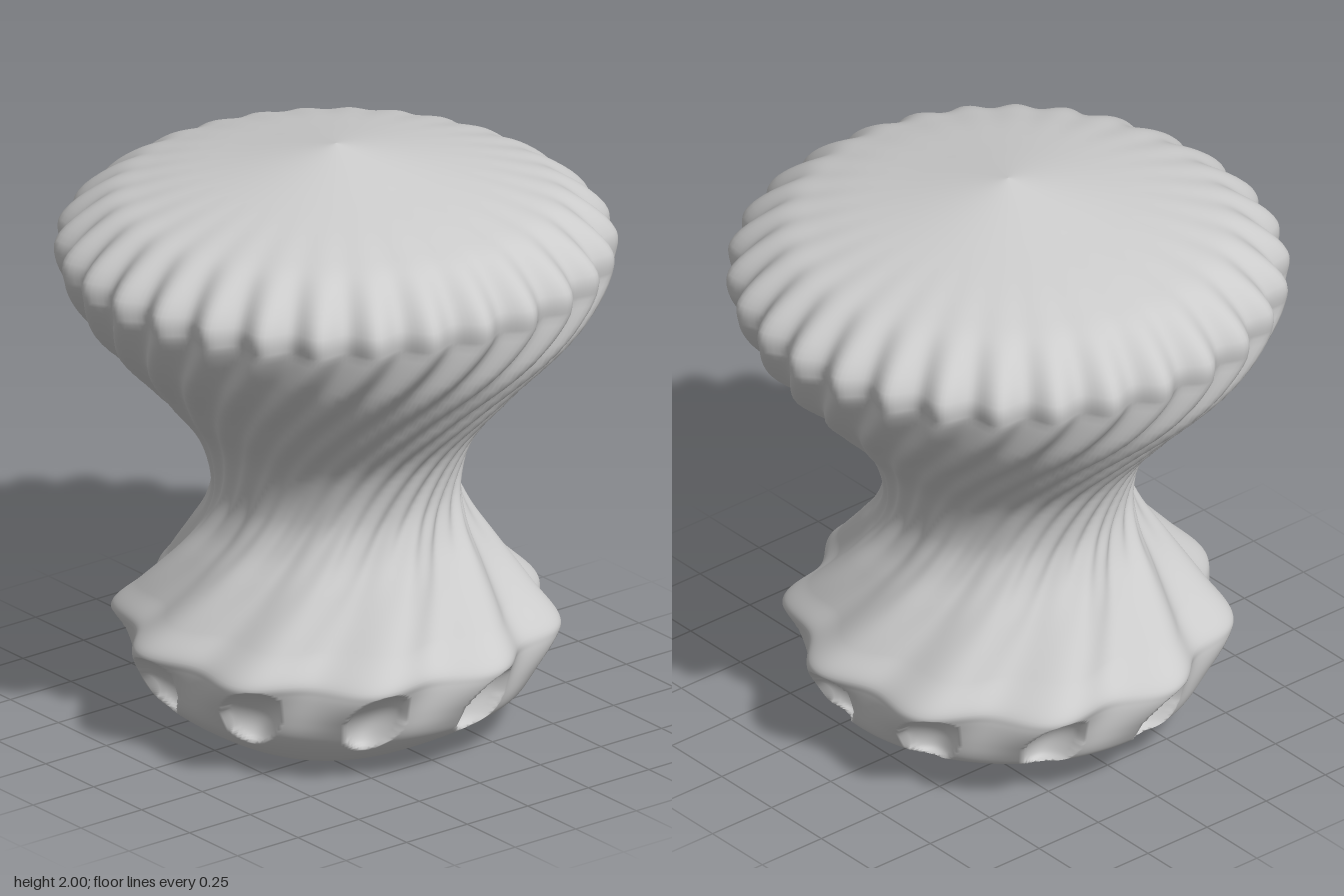
import * as THREE from 'three';

const { smoothstep, degToRad } = THREE.MathUtils;
const SIDES = 360;

// Profile as [mean radius, height], from the underside up to the crown
const PROFILE = [
  [0, 0], [0.28, 0], [0.42, 0.012], [0.52, 0.06], [0.62, 0.15], [0.665, 0.24],
  [0.695, 0.33], [0.695, 0.365], [0.61, 0.46], [0.5, 0.6], [0.425, 0.72], [0.4, 0.83],
  [0.445, 1.0], [0.6, 1.2], [0.8, 1.43], [0.88, 1.6], [0.882, 1.68],
  [0.75, 1.81], [0.6, 1.865], [0.3, 1.935], [0, 2],
];

// Rotation of the flutes, strongest through the neck
const twist = (y) => degToRad(88) * (0.5 * smoothstep(y, 0.2, 1.6) + 0.5 * THREE.MathUtils.clamp((y - 0.2) / 1.4, 0, 1));
const LOW = twist(0.36), HIGH = twist(1.65);

// Ten broad folds on the skirt
function skirtFold(a, y) {
  const amount = 0.035 * smoothstep(y, 0.16, 0.36) * (1 - smoothstep(y, 0.4, 0.95));
  return amount * Math.cos(10 * (a - twist(y) + LOW + degToRad(9)));
}

// Thirty fine flutes on the cap
function capFlute(a, y) {
  const amount = (0.007 * smoothstep(y, 0.5, 0.85) + 0.019 * smoothstep(y, 0.95, 1.6)) * (1 - smoothstep(y, 1.68, 1.93));
  return amount * Math.cos(30 * (a - twist(y) + HIGH));
}

// Ten oval pockets scooped out under the skirt edge
function pocket(a, y) {
  const step = Math.PI / 5;
  const b = a + degToRad(9) - (y - 0.235) * 0.4;
  const da = b - Math.round(b / step) * step;
  const d = (da / degToRad(8.6)) ** 2 + ((y - 0.235) / 0.115) ** 2;
  return d < 1 ? 0.095 * Math.pow(1 - d, 0.65) : 0;
}

// Uneven underside, lowest towards the front left
function undersideLift(a, r, y) {
  const low = ((1 + Math.cos(a - degToRad(40))) / 2) ** 2;
  const lift = THREE.MathUtils.lerp(0.05, 0.1 * (1 - low), Math.min(1, r / 0.35));
  return lift * (1 - smoothstep(y, 0, 0.17));
}

// Dense rings along the profile, with extra ones across the pockets
function profileRings() {
  const curve = new THREE.CatmullRomCurve3(PROFILE.map(([r, y]) => new THREE.Vector3(r, y, 0)), false, 'centripetal');
  const rings = [];
  const spans = PROFILE.length - 1;
  for (let i = 0; i < spans; i++) {
    const cuts = i >= 3 && i <= 7 ? 12 : 6;
    for (let k = 0; k < cuts; k++) rings.push(curve.getPoint((i + k / cuts) / spans));
  }
  rings.push(curve.getPoint(1));
  return rings;
}

function knobGeometry() {
  const rings = profileRings();
  const position = [], index = [];
  rings.forEach(({ x: r, y }, j) => {
    const radius = Math.max(0, r);
    const fade = Math.min(1, radius / 0.3);
    for (let i = 0; i < SIDES; i++) {
      const a = (i / SIDES) * Math.PI * 2;
      const rr = radius + fade * (skirtFold(a, y) + capFlute(a, y) - pocket(a, y));
      position.push(rr * Math.sin(a), Math.max(0, y) + undersideLift(a, radius, y), rr * Math.cos(a));
      if (j === rings.length - 1) continue;
      const p = j * SIDES + i, q = j * SIDES + ((i + 1) % SIDES);
      if (j > 0) index.push(p, q, q + SIDES);
      if (j < rings.length - 2) index.push(p, q + SIDES, p + SIDES);
      else index.push(p, q, p + SIDES);
    }
  });
  // Drop the doubled triangles next to the crown point
  const clean = [];
  const last = (rings.length - 1) * SIDES;
  for (let t = 0; t < index.length; t += 3) {
    const tri = index.slice(t, t + 3);
    if (tri.filter((v) => v >= last).length < 2 && tri.filter((v) => v < SIDES).length < 2) clean.push(...tri);
    else if (tri.filter((v) => v < SIDES).length === 2) clean.push(...tri);
  }
  const geometry = new THREE.BufferGeometry();
  geometry.setAttribute('position', new THREE.Float32BufferAttribute(position, 3));
  geometry.setIndex(clean);
  geometry.computeVertexNormals();
  return geometry;
}

export function createModel() {
  const group = new THREE.Group();
  group.name = 'twistedKnob';
  const material = new THREE.MeshStandardMaterial({ color: 0xcccccc });
  const body = new THREE.Mesh(knobGeometry(), material);
  body.name = 'twistedBody';
  group.add(body);
  return group;
}
